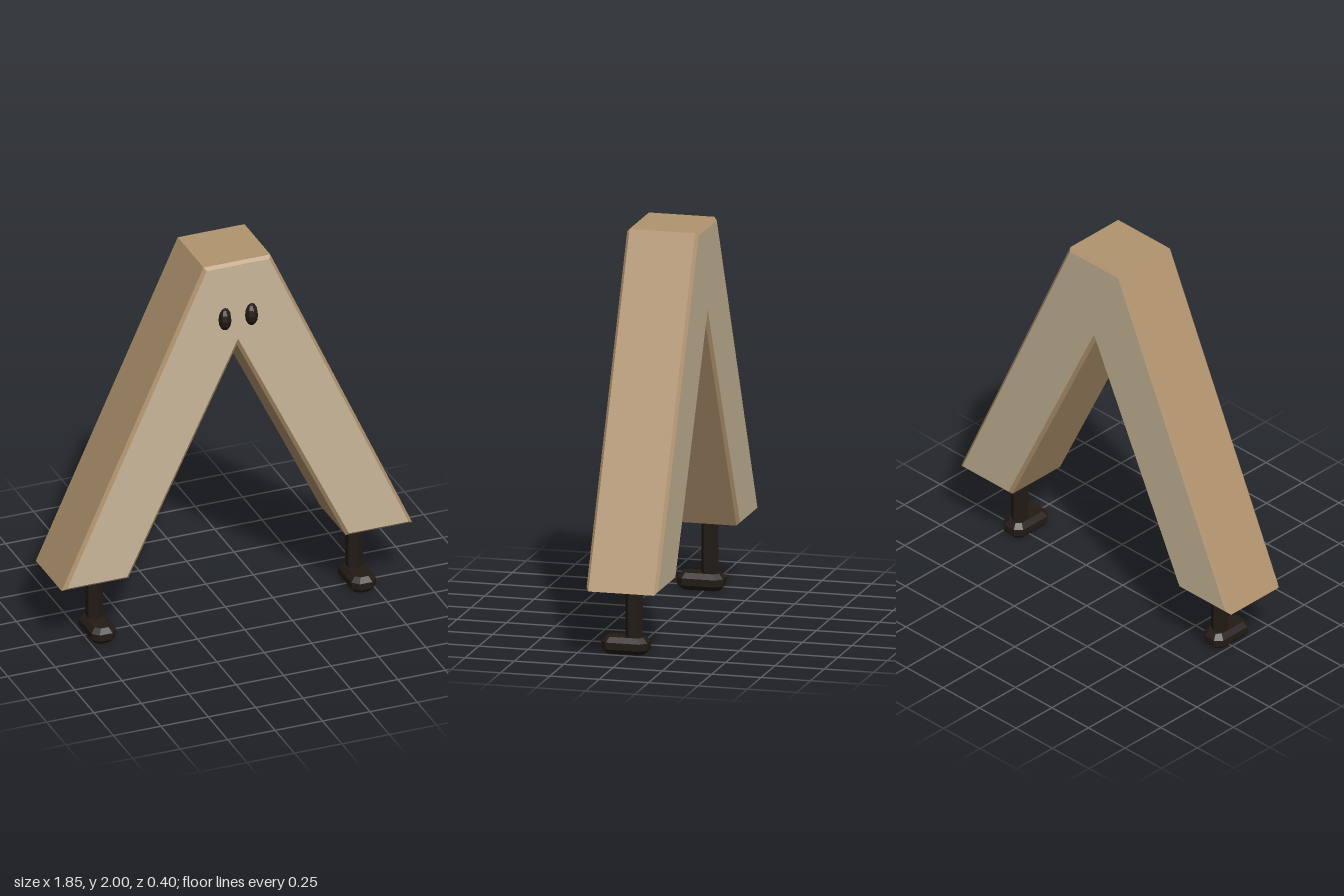
import * as THREE from 'three';

const material = (color) => new THREE.MeshStandardMaterial({ color, flatShading: true, side: THREE.DoubleSide });

function mesh(name, positions, mat) {
  const geometry = new THREE.BufferGeometry();
  geometry.setAttribute('position', new THREE.Float32BufferAttribute(positions, 3));
  geometry.computeVertexNormals();
  const m = new THREE.Mesh(geometry, mat);
  m.name = name;
  return m;
}

// Chamfered prism along z: small outline at both ends, full outline between.
function chamferedPrism(name, small, full, levels, sideMat, capMat) {
  const group = new THREE.Group();
  group.name = name;
  const rings = [small, full, full, small].map((ring, k) => ring.map(([x, y]) => [x, y, levels[k]]));
  const sides = [];
  const n = small.length;
  for (let k = 0; k < 3; k++) {
    for (let i = 0; i < n; i++) {
      const j = (i + 1) % n;
      const [a, b, c, d] = [rings[k][i], rings[k][j], rings[k + 1][j], rings[k + 1][i]];
      sides.push(...a, ...b, ...c, ...a, ...c, ...d);
    }
  }
  const caps = [];
  const faces = THREE.ShapeUtils.triangulateShape(small.map(([x, y]) => new THREE.Vector2(x, y)), []);
  for (const [a, b, c] of faces) {
    caps.push(...rings[3][a], ...rings[3][b], ...rings[3][c]);
    caps.push(...rings[0][a], ...rings[0][c], ...rings[0][b]);
  }
  group.add(mesh(name + 'Sides', sides, sideMat), mesh(name + 'Caps', caps, capMat));
  return group;
}

// Rectangle with cut corners, counter-clockwise
function cutRectangle(w, h, c) {
  return [[w - c, -h], [w, -h + c], [w, h - c], [w - c, h], [-w + c, h], [-w, h - c], [-w, -h + c], [-w + c, -h]];
}

export function createModel() {
  const model = new THREE.Group();
  model.name = 'wedgeCreature';
  const faceMat = material(0xc8b799);
  const sideMat = material(0xb2946f);
  const darkMat = material(0x231b16);

  // Inverted V body
  const faceOutline = [[-0.9, 0.37], [-0.585, 0.37], [0, 1.575], [0.585, 0.37], [0.9, 0.37], [0.165, 1.985], [-0.165, 1.985]];
  const fullOutline = [[-0.924, 0.355], [-0.573, 0.355], [0, 1.535], [0.573, 0.355], [0.924, 0.355], [0.176, 2], [-0.176, 2]];
  model.add(chamferedPrism('body', faceOutline, fullOutline, [-0.2, -0.185, 0.147, 0.162], sideMat, faceMat));

  for (const side of [-1, 1]) {
    const label = side > 0 ? 'left' : 'right';

    // Eye
    const eye = new THREE.Mesh(new THREE.SphereGeometry(1, 8, 6), darkMat);
    eye.name = label + 'Eye';
    eye.scale.set(0.034, 0.061, 0.042);
    eye.position.set(side * 0.07, 1.7, 0.16);
    model.add(eye);

    // Thin hexagonal leg
    const leg = new THREE.Mesh(new THREE.CylinderGeometry(0.044, 0.044, 0.32, 6), darkMat);
    leg.name = label + 'Leg';
    leg.position.set(side * 0.685, 0.22, -0.02);
    model.add(leg);

    // Chamfered foot, reaching forward
    const foot = chamferedPrism(label + 'Foot', cutRectangle(0.043, 0.094, 0.022), cutRectangle(0.065, 0.117, 0.032),
      [0, 0.025, 0.06, 0.085], darkMat, darkMat);
    foot.rotation.x = -Math.PI / 2;
    foot.position.set(side * 0.685, 0, 0.022);
    model.add(foot);
  }
  return model;
}
